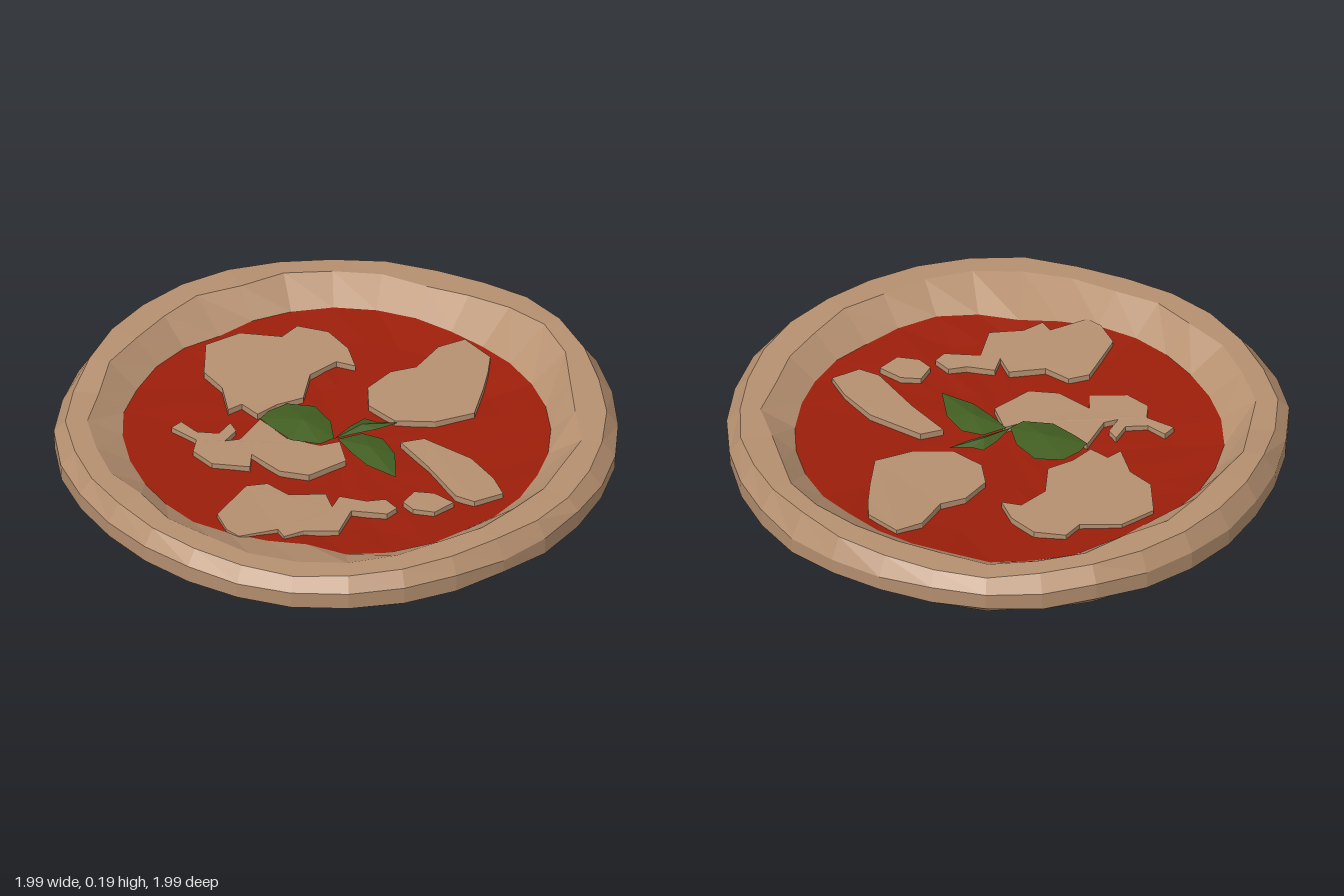
import * as THREE from 'three';

const SEG = 32;
// outer radius, sauce edge radius and crust crest height, every 15 degrees from +x towards +z
const OUTER_R = [.995, .985, .975, .98, .985, .99, .99, 1.0, 1.03, 1.035, 1.01, 1.0, .997, 1.0, 1.01, .987, .98, .99, .997, 1.0, 1.005, 1.01, .99, .995];
const SAUCE_R = [.73, .74, .74, .74, .74, .75, .74, .76, .76, .70, .72, .75, .75, .75, .76, .77, .76, .76, .73, .76, .77, .77, .74, .73];
const CREST = [.2, .185, .165, .16, .16, .168, .175, .17, .165, .158, .155, .165, .175, .165, .16, .16, .187, .187, .185, .18, .17, .16, .165, .185];

// look up a table around the circle with linear blending
function around(table, i) {
  const t = ((i % SEG) / SEG) * table.length;
  const k = Math.floor(t);
  return THREE.MathUtils.lerp(table[k], table[(k + 1) % table.length], t - k);
}

// small repeatable unevenness for hand-made dough, periodic around the circle
function wobble(i, j) {
  const s = Math.sin((i % SEG) * 12.9898 + j * 78.233) * 43758.5453;
  return (s - Math.floor(s)) * 2 - 1;
}

// loft rings given as functions i -> [radius, height]
function loft(rings) {
  const pos = [];
  const point = (j, i) => {
    const [r, y] = rings[j](i);
    const a = ((i % SEG) / SEG) * Math.PI * 2;
    return [r * Math.cos(a), y, r * Math.sin(a)];
  };
  for (let j = 0; j < rings.length - 1; j++) {
    for (let i = 0; i < SEG; i++) {
      const a = point(j, i), b = point(j + 1, i), c = point(j + 1, i + 1), d = point(j, i + 1);
      if (rings[j + 1](i)[0] > 0) pos.push(...a, ...b, ...c);
      else { pos.push(...a, ...b, ...d); continue; }
      if (rings[j](i)[0] > 0) pos.push(...a, ...c, ...d);
    }
  }
  const geo = new THREE.BufferGeometry();
  geo.setAttribute('position', new THREE.Float32BufferAttribute(pos, 3));
  geo.computeVertexNormals();
  return geo;
}

// slab cut to an outline of x,z pairs, rising gently with the bowl of the base
function slab(outline, base, thickness) {
  const pts = [];
  for (let i = 0; i < outline.length; i += 2) pts.push(new THREE.Vector2(outline[i], -outline[i + 1]));
  const geo = new THREE.ExtrudeGeometry(new THREE.Shape(pts), { depth: thickness, bevelEnabled: false });
  geo.rotateX(-Math.PI / 2);
  const p = geo.attributes.position;
  for (let i = 0; i < p.count; i++) {
    const r2 = p.getX(i) ** 2 + p.getZ(i) ** 2;
    p.setY(i, p.getY(i) + base + 0.03 * r2);
  }
  geo.computeVertexNormals();
  return geo;
}

// leaf as a shallow faceted dome over an outline of x,z pairs
function leaf(outline, cx, cz, rimY, topY) {
  const pos = [], n = outline.length / 2;
  const p = i => [outline[(i % n) * 2], rimY, outline[(i % n) * 2 + 1]];
  for (let i = 0; i < n; i++) pos.push(cx, topY, cz, ...p(i + 1), ...p(i));
  const geo = new THREE.BufferGeometry();
  geo.setAttribute('position', new THREE.Float32BufferAttribute(pos, 3));
  geo.computeVertexNormals();
  return geo;
}

const CHEESE = {
  cheeseBack: [-.18, -.57, -.08, -.70, .06, -.69, .17, -.59, .25, -.61, .32, -.52, .32, -.40, .28, -.30, .24, -.36, .12, -.35, .02, -.25, -.08, -.27, -.17, -.26, -.18, -.34, -.24, -.34, -.18, -.46],
  cheeseMiddle: [-.47, -.36, -.42, -.37, -.41, -.29, -.35, -.24, -.28, -.27, -.29, -.22, -.36, -.19, -.31, -.17, -.18, -.23, -.17, -.08, -.10, .02, -.03, .04, -.08, .15, -.24, .15, -.31, .07, -.33, -.07, -.38, -.01, -.48, -.10, -.49, -.20, -.44, -.25],
  cheeseLeft: [.18, -.08, .24, -.17, .36, -.2, .45, -.17, .58, -.22, .68, -.2, .69, -.06, .63, .01, .56, .08, .45, .18, .31, .14, .20, .05],
  cheeseRight: [-.65, .17, -.46, .08, -.39, .11, -.37, .21, -.26, .28, -.29, .36, -.23, .32, -.17, .40, -.11, .43, -.11, .50, -.16, .51, -.25, .42, -.36, .50, -.46, .43, -.54, .42, -.53, .37, -.67, .33, -.68, .27],
  cheeseCrumb: [-.07, .48, 0, .45, .05, .50, .07, .59, -.02, .60, -.07, .54],
  cheeseFront: [.14, .17, .22, .20, .28, .40, .27, .55, .24, .65, .13, .63, .10, .56, .13, .35],
};

export function createModel() {
  const group = new THREE.Group();
  group.name = 'pizza';
  const material = (name, color) => {
    const m = new THREE.MeshStandardMaterial({ color, flatShading: true });
    m.name = name;
    return m;
  };
  const dough = material('dough', 0xb69070);
  const tomato = material('tomato', 0x9c1e0a);
  const cheese = material('cheese', 0xb69070);
  const basil = material('basil', 0x425e22);
  basil.side = THREE.DoubleSide;
  const add = (name, geo, mat) => {
    const mesh = new THREE.Mesh(geo, mat);
    mesh.name = name;
    group.add(mesh);
  };

  // crust: underside, rounded side, crest and inner slope
  const outer = i => around(OUTER_R, i);
  const sauceEdge = i => [around(SAUCE_R, i), 0.088 + 0.005 * wobble(i, 9)];
  add('crust', loft([
    () => [0, 0.014],
    i => [0.5, 0.01 + 0.004 * wobble(i, 1)],
    i => [outer(i) * 0.945, 0.004 + 0.013 * Math.abs(wobble(i, 2))],
    i => [outer(i) * 0.997, 0.048 + 0.006 * wobble(i, 3)],
    i => [outer(i), 0.11 + 0.008 * wobble(i, 4)],
    i => [outer(i) * 0.955 + 0.006 * wobble(i, 5), around(CREST, i) - 0.003],
    i => [outer(i) * 0.865 + 0.02 * wobble(i, 6), around(CREST, i) - 0.002],
    sauceEdge,
  ]), dough);

  // sauce: shallow uneven bowl
  add('sauce', loft([
    sauceEdge,
    i => [0.58, 0.074 + 0.004 * wobble(i, 7)],
    i => [0.3, 0.065 + 0.003 * wobble(i, 8)],
    () => [0, 0.064],
  ]), tomato);

  // melted cheese patches
  for (const [name, outline] of Object.entries(CHEESE)) add(name, slab(outline, 0.062, 0.024), cheese);

  // basil sprig
  add('basilLeafLarge', leaf([-.18, -.23, -.13, -.25, -.05, -.25, .02, -.18, .01, -.07, -.04, .02, -.10, .02, -.17, -.06, -.18, -.17], -.08, -.11, .092, .115), basil);
  add('basilLeafFront', leaf([-.03, .03, .06, .05, .10, .12, .08, .22, 0, .34, -.04, .22, -.04, .12], .02, .15, .09, .108), basil);
  add('basilLeafSmall', leaf([-.04, .02, .05, -.01, .12, -.02, .14, .02, .20, .07, .12, .06, .03, .035], .08, .02, .09, .105), basil);
  return group;
}
